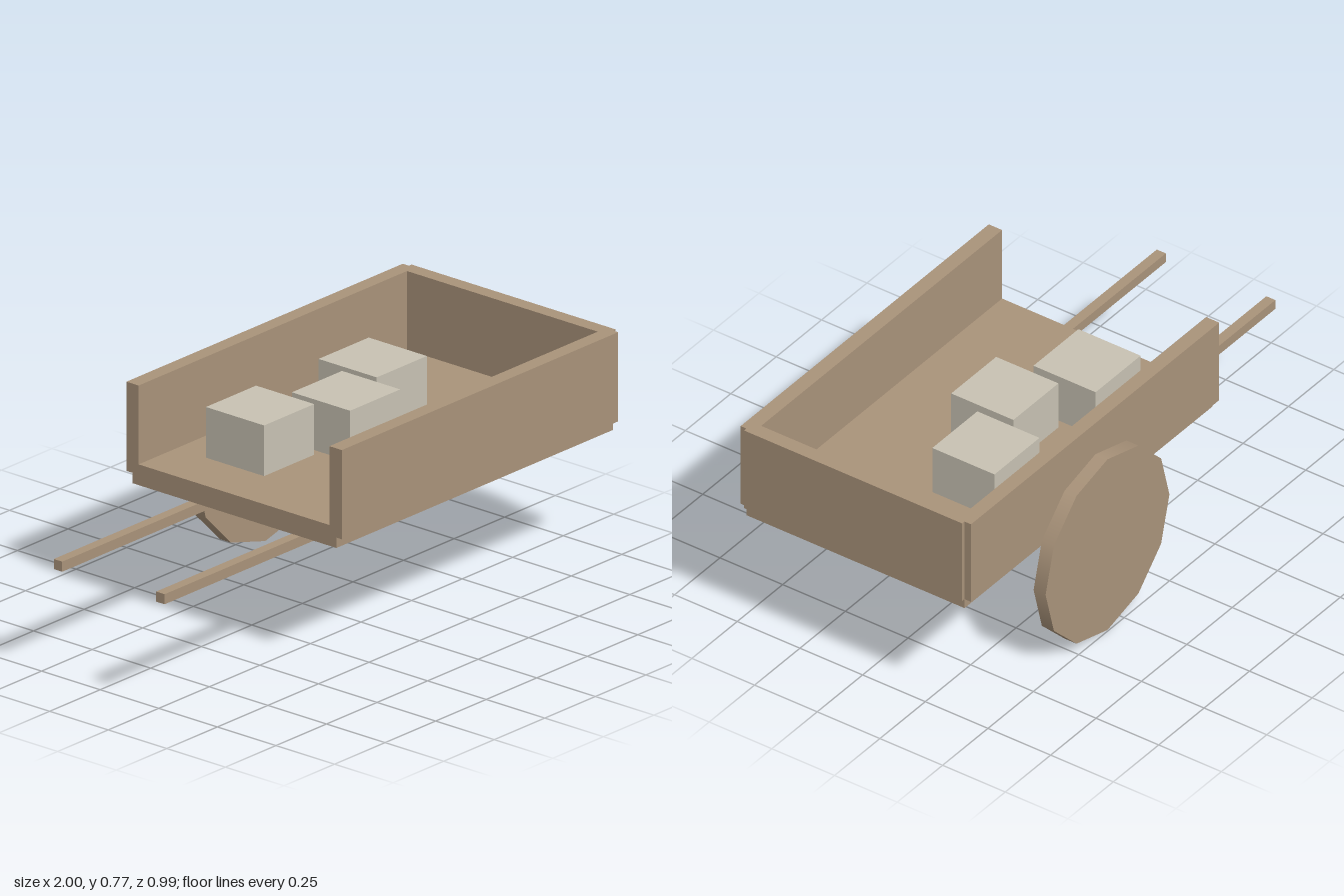
import * as THREE from 'three';

export function createModel() {
  const cart = new THREE.Group();
  cart.name = 'handcart';

  const wood = new THREE.MeshStandardMaterial({ color: 0xa9937a });
  wood.name = 'weathered wood';
  const stone = new THREE.MeshStandardMaterial({ color: 0xc8c2b3 });
  stone.name = 'pale stone';

  // Box given by its extents along each axis
  function box(name, material, [x0, x1], [y0, y1], [z0, z1]) {
    const mesh = new THREE.Mesh(new THREE.BoxGeometry(x1 - x0, y1 - y0, z1 - z0), material);
    mesh.position.set((x0 + x1) / 2, (y0 + y1) / 2, (z0 + z1) / 2);
    mesh.name = name;
    cart.add(mesh);
  }

  // Bed: thick floor, two long sides and one end board, open towards the handles
  const wall = [0.465, 0.775];
  box('floor', wood, [-0.38, 0.987], [0.429, 0.501], [-0.397, 0.473]);
  box('frontSide', wood, [-0.38, 0.987], wall, [0.443, 0.496]);
  box('backSide', wood, [-0.38, 0.987], wall, [-0.423, -0.371]);
  box('endBoard', wood, [0.947, 1], wall, [-0.397, 0.473]);

  // Pull handles
  for (const z of [0.257, -0.18]) {
    box('handle', wood, [-1, -0.256], [0.368, 0.403], [z - 0.018, z + 0.018]);
  }

  // Single twelve-sided wheel
  const wheelGeometry = new THREE.CylinderGeometry(0.341, 0.341, 0.048, 12);
  wheelGeometry.rotateX(Math.PI / 2);
  const wheel = new THREE.Mesh(wheelGeometry, wood);
  wheel.position.set(0.336, 0.341, -0.472);
  wheel.name = 'wheel';
  cart.add(wheel);

  // Load of blocks, slightly sunk into the floor
  for (const [x, z] of [[-0.069, -0.121], [0.21, 0.005], [0.488, -0.121]]) {
    box('block', stone, [x - 0.124, x + 0.124], [0.43, 0.677], [z - 0.124, z + 0.124]);
  }

  return cart;
}
